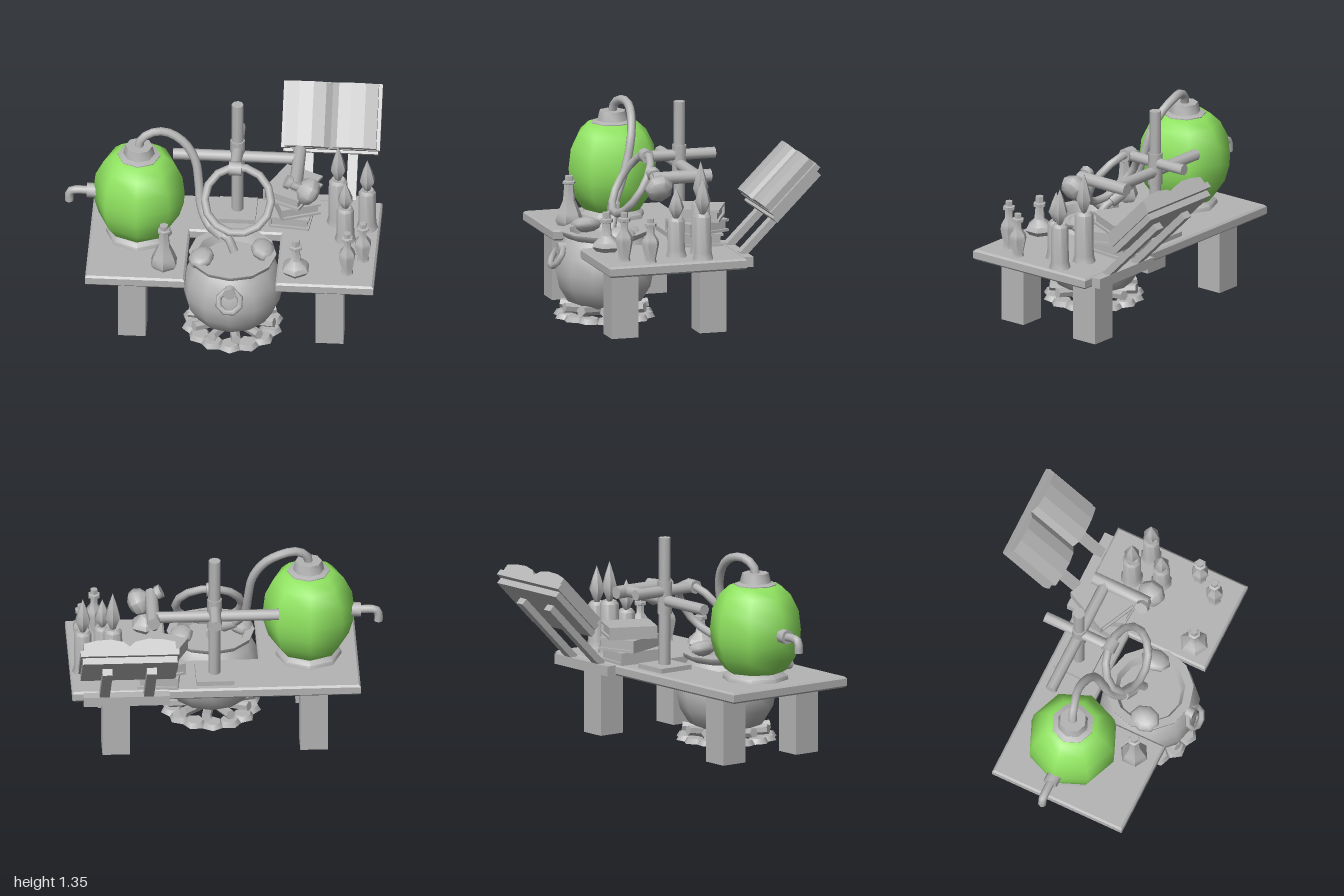
import * as THREE from 'three';
import { toCreasedNormals } from 'three/addons/utils/BufferGeometryUtils.js';

const grey = new THREE.MeshStandardMaterial({ color: 0xb4b4b4, side: THREE.DoubleSide });
grey.name = 'grey';
const green = new THREE.MeshStandardMaterial({ color: 0x8fe260 });
green.name = 'green';

export function createModel() {
  const root = new THREE.Group();
  root.name = 'alchemyTable';

  const add = (name, geo, pos = [0, 0, 0], parent = root, mat = grey) => {
    const m = new THREE.Mesh(geo, mat);
    m.name = name;
    m.position.set(...pos);
    parent.add(m);
    return m;
  };
  const group = (name, pos = [0, 0, 0], parent = root) => {
    const g = new THREE.Group();
    g.name = name;
    g.position.set(...pos);
    parent.add(g);
    return g;
  };
  const box = (name, size, pos, parent) => add(name, new THREE.BoxGeometry(...size), pos, parent);
  // Turned part from [radius, height] pairs, listed bottom to top
  const lathe = (name, pts, sides, pos, parent, mat) => add(name, toCreasedNormals(
    new THREE.LatheGeometry(pts.map(p => new THREE.Vector2(...p)), sides), 0.9), pos, parent, mat);
  // Straight round bar between two points
  const bar = (name, a, b, r, parent, sides = 8) => {
    const p = new THREE.Vector3(...a), q = new THREE.Vector3(...b);
    const m = add(name, toCreasedNormals(new THREE.CylinderGeometry(r, r, p.distanceTo(q), sides), 0.9),
      p.clone().add(q).multiplyScalar(0.5).toArray(), parent);
    m.quaternion.setFromUnitVectors(new THREE.Vector3(0, 1, 0), q.sub(p).normalize());
    return m;
  };
  const tube = (name, pts, r, steps, parent) => add(name, new THREE.TubeGeometry(
    new THREE.CatmullRomCurve3(pts.map(p => new THREE.Vector3(...p))), steps, r, 8), [0, 0, 0], parent);
  // Outline in x and z, extruded downwards
  const slab = (pts, depth, bevel = 0) => new THREE.ExtrudeGeometry(
    new THREE.Shape(pts.map(p => new THREE.Vector2(...p))),
    { depth, bevelEnabled: bevel > 0, bevelSize: bevel, bevelThickness: bevel, bevelOffset: -bevel, bevelSegments: 1 })
    .rotateX(Math.PI / 2);

  // Table with a notch for the cauldron
  add('tableTop', slab([[-0.84, -0.27], [0.985, -0.27], [0.985, 0.64], [0.365, 0.64], [0.365, 0.105],
    [-0.21, 0.105], [-0.21, 0.64], [-0.84, 0.64]], 0.046, 0.012), [0, 0.493, 0]);
  for (const x of [-0.548, 0.703]) for (const z of [-0.105, 0.478])
    box('tableLeg', [0.175, 0.436, 0.178], [x, 0.218, z]);

  // Cauldron
  const pot = group('cauldron', [0.078, 0, 0.392]);
  lathe('cauldronBody', [[0, 0.06], [0.14, 0.065], [0.24, 0.105], [0.298, 0.2], [0.318, 0.3], [0.304, 0.4],
    [0.265, 0.48], [0.24, 0.51], [0.272, 0.53], [0.278, 0.555], [0.225, 0.555], [0.2, 0.5], [0, 0.5]], 12, [0, 0, 0], pot);
  bar('handleBoss', [0, 0.45, 0.25], [0, 0.45, 0.31], 0.04, pot);
  const ring = add('ringHandle', new THREE.TorusGeometry(0.072, 0.02, 6, 8), [0, 0.4, 0.315], pot);
  ring.rotation.set(-0.55, 0, Math.PI / 8);
  for (const [x, y, z, w] of [[-0.195, 0.55, 0.06, 0.085], [0.19, 0.55, -0.05, 0.08]]) {
    const foam = add('foamBlob', new THREE.SphereGeometry(1, 8, 6), [x, y, z], pot);
    foam.scale.set(w, 0.05, 0.1);
    foam.rotation.z = x < 0 ? 0.3 : -0.3;
  }

  // Fire ring of flat stones and radial logs
  const fire = group('firePit', [0.078, 0, 0.392]);
  for (let i = 0; i < 14; i++) {
    const a = i / 14 * Math.PI * 2;
    const s = add('stone', new THREE.CylinderGeometry(0.055, 0.075, 0.032, 6),
      [Math.sin(a) * 0.25, 0.016, Math.cos(a) * 0.25], fire);
    s.rotation.y = a;
  }
  for (let i = 0; i < 11; i++) {
    const a = (i + 0.25) / 11 * Math.PI * 2, s = Math.sin(a), c = Math.cos(a);
    bar('log', [s * 0.06, 0.045, c * 0.06], [s * 0.28, 0.075, c * 0.28], 0.032, fire, 6);
  }

  // Green still with collar, cap and tap
  const still = group('still', [-0.53, 0, 0.147]);
  lathe('stillFoot', [[0, 0.505], [0.21, 0.505], [0.205, 0.53], [0.17, 0.555]], 8, [0, 0, 0], still);
  lathe('stillBody', [[0.15, 0.54], [0.195, 0.565], [0.255, 0.65], [0.284, 0.75], [0.289, 0.83], [0.275, 0.95],
    [0.225, 1.05], [0.165, 1.105], [0.1, 1.115]], 8, [0, 0, 0], still, green);
  lathe('stillCap', [[0.135, 1.085], [0.135, 1.115], [0.1, 1.125], [0.085, 1.185], [0, 1.185]], 8, [0, 0, 0], still);
  bar('tapFlange', [-0.26, 0.82, 0], [-0.33, 0.82, 0], 0.047, still);
  tube('tapSpout', [[-0.3, 0.82, 0], [-0.4, 0.82, 0], [-0.43, 0.812, 0], [-0.442, 0.785, 0], [-0.442, 0.735, 0]], 0.027, 8, still);

  // Condensing pipe and hanging coil
  tube('pipe', [[-0.53, 1.17, 0.147], [-0.52, 1.225, 0.14], [-0.45, 1.27, 0.12], [-0.36, 1.265, 0.1],
    [-0.25, 1.2, 0.11], [-0.175, 1.08, 0.135], [-0.15, 0.93, 0.17], [-0.13, 0.77, 0.225], [-0.06, 0.66, 0.29],
    [0.04, 0.62, 0.32], [0.085, 0.53, 0.35]], 0.028, 24);
  const coil = add('coil', new THREE.TorusGeometry(0.21, 0.026, 8, 14), [0.1, 0.84, 0.22]);
  coil.rotation.x = -0.55;
  bar('pipeSleeve', [-0.07, 0.68, 0.28], [0.01, 0.63, 0.31], 0.042);

  // Stand with cross bars
  const stand = group('stand', [0.077, 0, -0.105]);
  box('standFoot', [0.24, 0.03, 0.24], [0, 0.52, 0], stand);
  bar('standRod', [0, 0.52, 0], [0, 1.35, 0], 0.038, stand);
  bar('standClamp', [0, 0.86, 0], [0, 1.07, 0], 0.047, stand);
  bar('sideBar', [-0.407, 0.945, 0], [0.4, 0.945, 0], 0.037, stand);
  bar('forwardBar', [0, 1.005, 0.235], [0, 1.005, -0.235], 0.036, stand);
  bar('coilClamp', [-0.04, 1.01, 0.22], [0.04, 1.01, 0.22], 0.045, stand);
  bar('flaskBar', [0.388, 0.945, -0.085], [0.388, 0.945, 0.3], 0.042, stand);

  // Tilted flask held by the end bar
  const flask = lathe('heldFlask', [[0, 0], [0.045, 0], [0.045, 0.035], [0.032, 0.04], [0.032, 0.09], [0.075, 0.12],
    [0.092, 0.16], [0.08, 0.2], [0.04, 0.225], [0, 0.225]], 7, [0.4, 0.975, 0.175]);
  flask.rotation.z = -2.06;

  // Reading stand and open book, tilted back
  box('bookStandFoot', [0.545, 0.065, 0.065], [0.643, 0.468, -0.3]);
  const lectern = group('openBook', [0.643, 0, 0]);
  lectern.rotation.x = -Math.PI / 4;
  for (const x of [-0.14, 0.14]) box('standArm', [0.063, 0.58, 0.045], [x, 0.845, 0.143], lectern);
  box('backBoard', [0.6, 0.41, 0.042], [0, 1.05, 0.186], lectern);
  box('bookCover', [0.625, 0.425, 0.04], [0, 1.075, 0.228], lectern);
  const half = [[0.29, 0.245], [0.29, 0.295], [0.21, 0.313], [0.12, 0.318], [0.04, 0.302], [0, 0.27]];
  add('pages', slab([...half, ...half.slice(0, 5).reverse().map(([x, n]) => [-x, n])], 0.415), [0, 1.28, 0], lectern);

  // Stack of closed books
  [[0.43, -0.1, -0.1], [0.44, -0.11, 0.35], [0.43, -0.115, -0.45]].forEach(([x, z, turn], i) => {
    const b = group('closedBook', [x, 0.505 + i * 0.08, z]);
    b.rotation.y = turn;
    for (const y of [0.008, 0.072]) box('cover', [0.25, 0.016, 0.31], [0, y, 0], b);
    box('spine', [0.016, 0.08, 0.31], [-0.125, 0.04, 0], b);
    box('pageBlock', [0.23, 0.05, 0.28], [-0.005, 0.04, 0], b);
  });

  // Candles: x, z, wax height, flame tip, radius
  for (const [x, z, h, tip, r] of [[0.718, -0.045, 0.84, 1.095, 0.062], [0.905, 0, 0.8, 1.03, 0.057], [0.775, 0.135, 0.755, 0.945, 0.057]]) {
    const c = group('candle', [x, 0, z]), f = tip - h;
    lathe('wax', [[0, 0.505], [r + 0.012, 0.505], [r, 0.55], [r * 0.96, h - 0.02], [r * 0.7, h], [0, h - 0.015]], 8, [0, 0, 0], c);
    lathe('flame', [[0, h - 0.015], [0.02, h], [0.052, h + f * 0.33], [0.03, h + f * 0.65], [0, tip]], 6, [0, 0, 0], c);
  }

  // Flasks and slender bottles
  lathe('conicalFlask', [[0, 0], [0.075, 0], [0.092, 0.03], [0.075, 0.08], [0.04, 0.16], [0.032, 0.26], [0.042, 0.265],
    [0.042, 0.28], [0.028, 0.285], [0.028, 0.315], [0, 0.315]], 6, [-0.35, 0.505, 0.49]);
  lathe('squatFlask', [[0, 0], [0.07, 0], [0.095, 0.03], [0.08, 0.06], [0.035, 0.1], [0.028, 0.18], [0.042, 0.185],
    [0.042, 0.205], [0.028, 0.21], [0.026, 0.25], [0, 0.25]], 6, [0.485, 0.505, 0.505]);
  for (const [x, z, s] of [[0.81, 0.49, 1], [0.9, 0.345, 0.91]])
    lathe('bottle', [[0, 0], [0.042, 0], [0.036, 0.02], [0.058, 0.13], [0.052, 0.16], [0.026, 0.2], [0.026, 0.25],
      [0.04, 0.255], [0.04, 0.275], [0.024, 0.28], [0.024, 0.31], [0, 0.31]], 6, [x, 0.505, z]).scale.y = s;

  return root;
}
